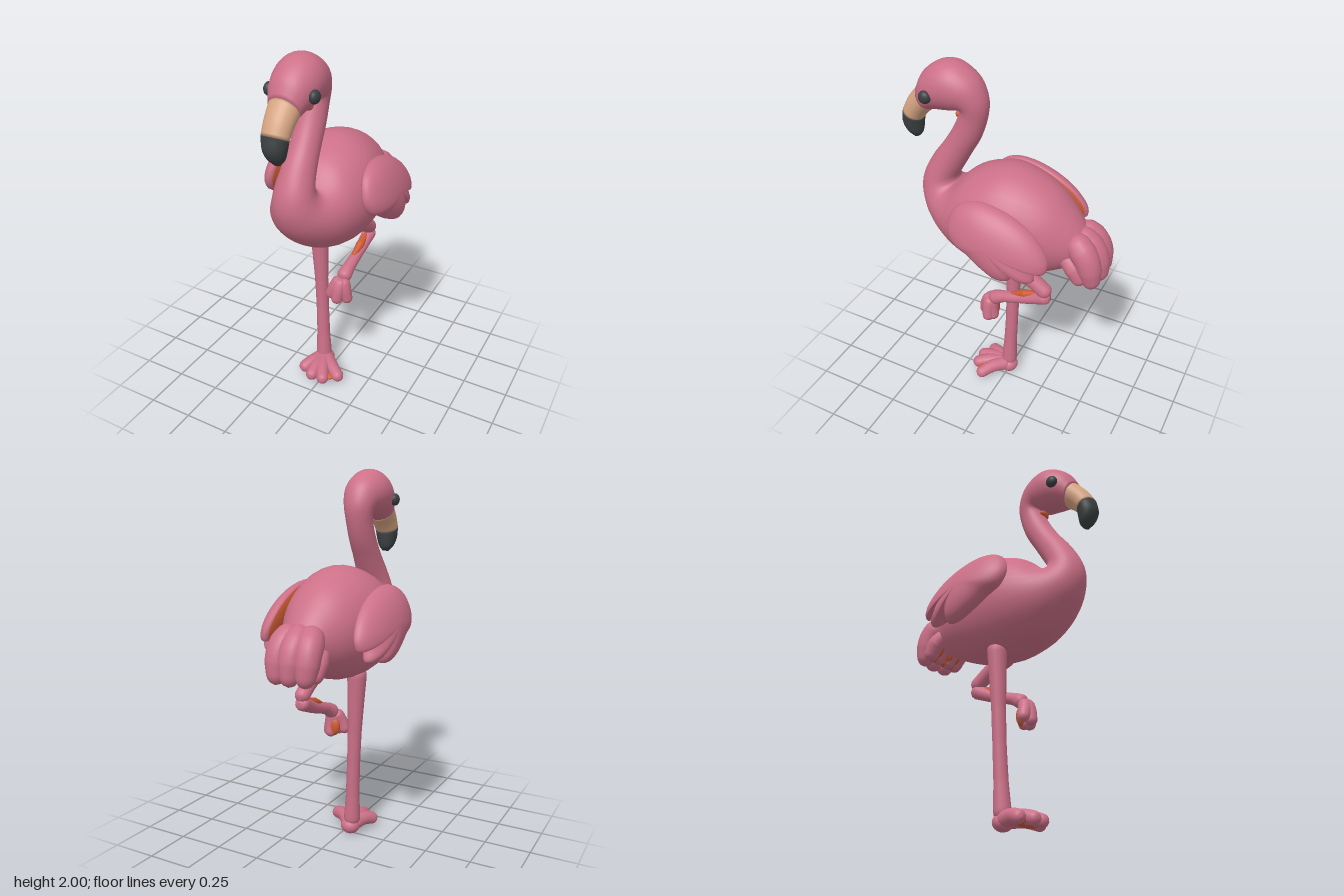
import * as THREE from 'three';
import { mergeVertices } from 'three/addons/utils/BufferGeometryUtils.js';

const material = (name, color) => {
  const m = new THREE.MeshStandardMaterial({ color });
  m.name = name;
  return m;
};

// Closed-ring surface: rows of cols points, wrapped around, smooth normals
function ringSurface(rows, cols, point, flip = false) {
  const pos = [], index = [];
  for (let i = 0; i < rows; i++)
    for (let j = 0; j < cols; j++) pos.push(...point(i, j));
  for (let i = 0; i < rows - 1; i++)
    for (let j = 0; j < cols; j++) {
      const k = (j + 1) % cols;
      const a = i * cols + j, b = i * cols + k, c = a + cols, d = b + cols;
      if (flip) index.push(a, c, b, b, c, d);
      else index.push(a, b, c, b, d, c);
    }
  const g = new THREE.BufferGeometry();
  g.setAttribute('position', new THREE.Float32BufferAttribute(pos, 3));
  g.setIndex(index);
  g.computeVertexNormals();
  return g;
}

// Loft through sections [zTop, yTop, zBottom, yBottom, halfWidth], capped at both ends
function loft(sections, steps = 5, cols = 36) {
  const top = new THREE.CatmullRomCurve3(sections.map(s => new THREE.Vector3(s[4], s[1], s[0])), false, 'catmullrom');
  const low = new THREE.CatmullRomCurve3(sections.map(s => new THREE.Vector3(0, s[3], s[2])), false, 'catmullrom');
  const n = (sections.length - 1) * steps;
  const rings = [];
  for (let i = 0; i <= n; i++) rings.push([top.getPoint(i / n), low.getPoint(i / n), 1]);
  rings.unshift([rings[0][0], rings[0][1], 0]);
  rings.push([rings[n + 1][0], rings[n + 1][1], 0]);
  return ringSurface(rings.length, cols, (i, j) => {
    const [t, b, s] = rings[i], a = (j / cols) * Math.PI * 2;
    const c = Math.cos(a) * s, u = Math.sin(a) * s;
    return [t.x * c, (t.y + b.y) / 2 + u * (t.y - b.y) / 2, (t.z + b.z) / 2 + u * (t.z - b.z) / 2];
  });
}

// Round-ended limb along a curve with radii spaced evenly along its length
function limb(points, radii, segments = 40, sides = 16) {
  const curve = new THREE.CatmullRomCurve3(points.map(p => new THREE.Vector3(...p)));
  const length = curve.getLength();
  let g = new THREE.TubeGeometry(curve, segments, 1, sides, false);
  const pos = g.attributes.position, v = new THREE.Vector3();
  for (let i = 0; i <= segments; i++) {
    const u = i / segments, f = u * (radii.length - 1), k = Math.min(Math.floor(f), radii.length - 2);
    let r = THREE.MathUtils.lerp(radii[k], radii[k + 1], f - k);
    const end = Math.min(u, 1 - u) * length;
    if (end < r) r *= Math.sqrt(Math.max(0.0004, 1 - (1 - end / r) ** 2));
    const p = curve.getPointAt(u);
    for (let j = 0; j <= sides; j++) {
      const q = i * (sides + 1) + j;
      v.fromBufferAttribute(pos, q).sub(p).multiplyScalar(r).add(p);
      pos.setXYZ(q, v.x, v.y, v.z);
    }
  }
  g.deleteAttribute('uv');
  g.deleteAttribute('normal');
  g = mergeVertices(g, 1e-5);
  g.computeVertexNormals();
  return g;
}

// Pillow-shaped wing with a scalloped feather outline given as [z, y]
function wing(side) {
  const outline = [[.18, 1.27], [.145, 1.365], [.07, 1.41], [-.03, 1.415], [-.18, 1.37], [-.3, 1.285],
    [-.36, 1.19], [-.35, 1.135], [-.29, 1.145], [-.3, 1.08], [-.26, 1.065], [-.2, 1.1], [-.175, 1.055],
    [-.12, 1.045], [-.03, 1.085], [.07, 1.15], [.15, 1.195]];
  const curve = new THREE.CatmullRomCurve3(outline.map(([z, y]) => new THREE.Vector3(0, y, z)), true);
  const cols = 80, rows = 21;
  const ring = Array.from({ length: cols }, (_, j) => curve.getPoint(j / cols));
  const g = ringSurface(rows, cols, (i, j) => {
    const phi = (i / (rows - 1) - .5) * Math.PI, s = Math.cos(phi), h = Math.sin(phi);
    const y = 1.24 + (ring[j].y - 1.24) * s, z = -.07 + (ring[j].z + .07) * s;
    return [side * (.272 - .2 * (y - 1.22) + .06 * z + h * (h > 0 ? .1 : .05)), y, z];
  }, side > 0);
  const inner = 8 * cols * 6;
  g.addGroup(0, inner, 1);
  g.addGroup(inner, g.index.count - inner, 0);
  return g;
}

export function createModel() {
  const pink = material('pink', 0xcc7088), orange = material('orange', 0xcc5a33);
  const tan = material('tan', 0xd6a583), dark = material('charcoal', 0x3c4042);
  const model = new THREE.Group();
  model.name = 'flamingo';
  const add = (name, geometry, mat, parent = model) => {
    const mesh = new THREE.Mesh(geometry, mat);
    mesh.name = name;
    parent.add(mesh);
    return mesh;
  };
  const group = name => {
    const g = new THREE.Group();
    g.name = name;
    model.add(g);
    return g;
  };

  // Body, neck and head in one sweep from rump to brow
  add('bodyNeckHead', loft([
    [-.49, 1.18, -.48, 1.10, .04], [-.45, 1.24, -.44, 1.06, .09], [-.38, 1.33, -.38, 1.02, .14],
    [-.28, 1.425, -.28, .97, .20], [-.15, 1.49, -.15, .925, .245], [-.03, 1.51, -.02, .91, .265],
    [.08, 1.485, .10, .925, .262], [.17, 1.44, .22, .965, .235], [.235, 1.38, .33, 1.035, .195],
    [.265, 1.352, .42, 1.13, .155], [.27, 1.352, .465, 1.22, .125], [.272, 1.36, .475, 1.30, .107],
    [.268, 1.38, .455, 1.38, .096], [.24, 1.43, .40, 1.48, .084], [.19, 1.52, .335, 1.57, .075],
    [.135, 1.62, .28, 1.66, .072], [.10, 1.73, .245, 1.735, .073], [.095, 1.82, .235, 1.76, .082],
    [.13, 1.91, .245, 1.757, .097], [.19, 1.965, .265, 1.75, .112], [.27, 1.998, .295, 1.745, .121],
    [.35, 1.985, .33, 1.74, .119], [.43, 1.925, .365, 1.735, .103], [.473, 1.845, .405, 1.72, .08],
  ]), pink);
  add('throatPatch', new THREE.SphereGeometry(.03, 16, 12).scale(1.2, .7, .6), orange).position.set(0, 1.735, .245);

  // Beak: pale base and dark hooked tip
  add('beakBase', loft([[.465, 1.85, .395, 1.725, .079], [.53, 1.77, .435, 1.69, .072], [.568, 1.70, .467, 1.65, .067]]), tan);
  add('beakTip', loft([[.568, 1.70, .467, 1.65, .067], [.579, 1.635, .47, 1.605, .058],
    [.56, 1.585, .476, 1.57, .044], [.52, 1.543, .49, 1.55, .02]]), dark);

  for (const side of [1, -1]) {
    const label = side > 0 ? 'left' : 'right';
    add(label + 'Eye', new THREE.SphereGeometry(.033, 20, 14).scale(.75, 1, 1), dark).position.set(side * .117, 1.837, .37);
    add(label + 'Wing', wing(side), [pink, orange]);
  }

  // Tail feathers: a top fan, a lower row and the orange lining between them
  const tail = group('tail');
  for (const x of [-.08, 0, .08]) {
    const back = x ? 0 : -.012;
    add('upperTailFeather', limb([[x * .6, 1.24, -.39], [x, 1.14, -.49 + back], [x * 1.02, .975, -.535 + back]],
      [.06, .07, .062, .04]), pink, tail);
  }
  for (const x of [-.1, -.04, .04, .1]) {
    add('lowerTailFeather', limb([[x * .8, 1.14, -.36], [x, 1.08, -.43], [x, .99, -.485]], [.04, .048, .035]), pink, tail);
    add('tailLining', limb([[x * .7, 1.1, -.4], [x * .7, 1.0, -.495]], [.03, .038, .028]), orange, tail);
  }

  // Standing leg with webbed foot
  const standing = group('standingLeg');
  add('shank', limb([[-.09, .98, -.015], [-.078, .7, -.013], [-.066, .4, -.01], [-.052, .05, 0]],
    [.055, .046, .038, .036, .038, .048], 60), pink, standing);
  const toes = [[-.125, .16], [-.04, .205], [.045, .2], [.125, .13]];
  for (const [x, z] of toes)
    add('toe', limb([[-.05, .055, -.01], [(x - .05) / 2, .06, z * .55], [x, .038, z]], [.045, .04, .037, .034]), pink, standing);
  add('heel', new THREE.SphereGeometry(.052, 20, 14).scale(1.05, .9, 1), pink, standing).position.set(-.045, .047, -.005);
  add('web', new THREE.SphereGeometry(.1, 20, 12).scale(.95, .25, .7), orange, standing).position.set(0, .042, .11);

  // Raised leg folded at the knee, foot hanging
  const raised = group('raisedLeg');
  add('thigh', limb([[.09, .99, -.05], [.092, .925, -.18], [.09, .835, -.31]], [.055, .047, .042, .04]), pink, raised);
  add('shin', limb([[.09, .828, -.312], [.09, .765, -.17], [.09, .715, -.02], [.085, .675, .045]],
    [.042, .035, .031, .033, .045]), pink, raised);
  add('shinPatch', limb([[.09, .83, -.25], [.09, .787, -.15], [.09, .762, -.08]], [.01, .024, .01]), orange, raised);
  for (const [x, y, z] of [[.02, .56, .07], [.075, .545, .09], [.125, .54, .045], [.1, .54, .02]])
    add('raisedToe', limb([[.085, .69, .04], [(x + .085) / 2, .63, (z + .055) / 2], [x, y, z]], [.04, .038, .034, .03]), pink, raised);
  add('raisedWeb', new THREE.SphereGeometry(.05, 16, 12).scale(.8, 1.1, .5), orange, raised).position.set(.078, .605, .025);

  return model;
}
